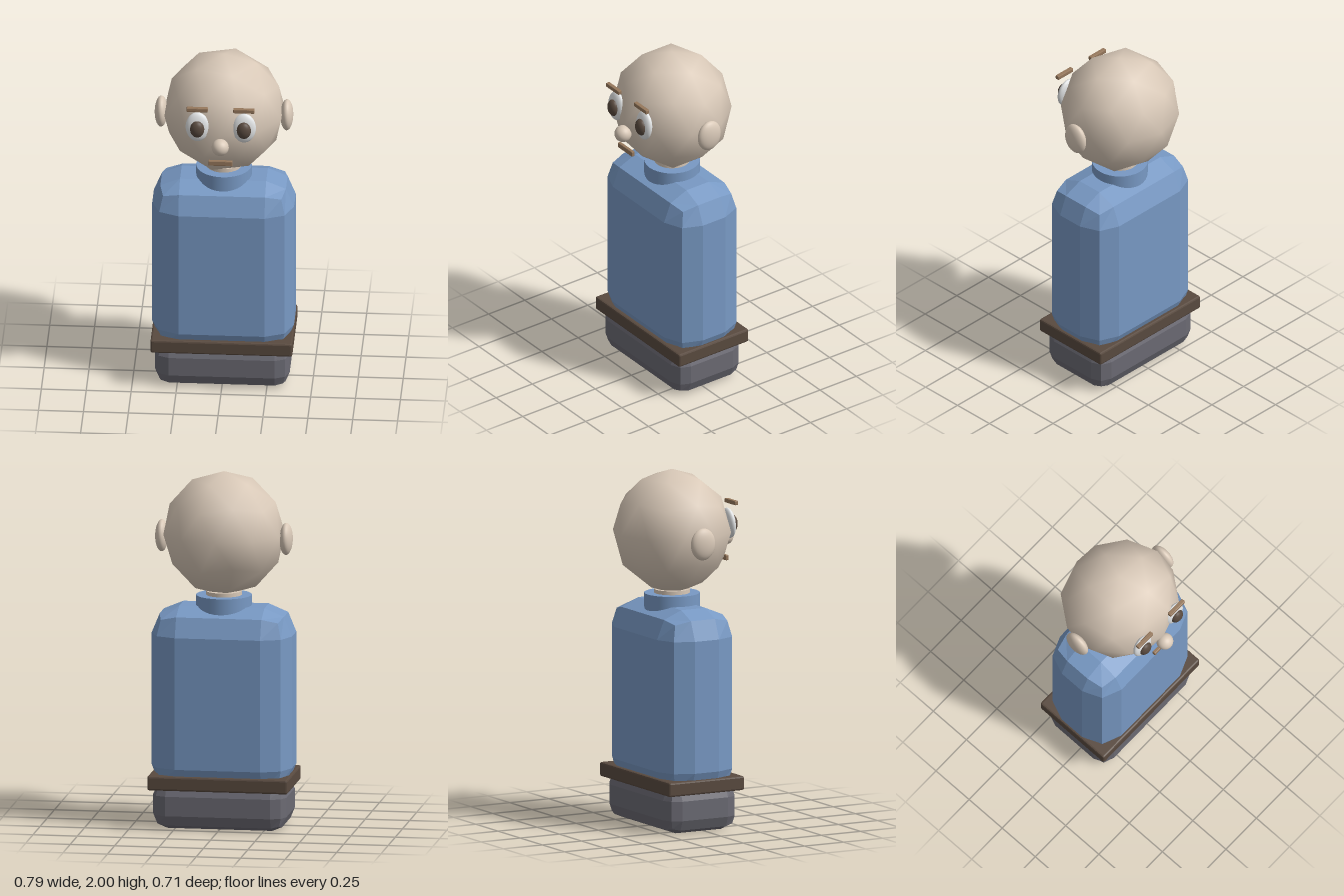
import * as THREE from 'three';
import { RoundedBoxGeometry } from 'three/addons/geometries/RoundedBoxGeometry.js';

const CZ = -0.03; // depth of the body axis

const material = (name, color) => {
  const m = new THREE.MeshStandardMaterial({ color });
  m.name = name;
  return m;
};

// Box with two-step chamfered edges and flat faces
function chamferBox(w, h, d, r) {
  const g = new RoundedBoxGeometry(w, h, d, 1, r);
  g.computeVertexNormals();
  return g;
}

// Smooth ellipsoid
const ellipsoid = (rx, ry, rz) => new THREE.SphereGeometry(1, 24, 16).scale(rx, ry, rz);

// Coarse, smooth-shaded ball with a vertex straight up
function headGeometry(rx, ry, rz) {
  const g = new THREE.IcosahedronGeometry(1, 1);
  g.rotateZ(-Math.atan(2 / (1 + Math.sqrt(5))));
  return g.scale(rx, ry, rz);
}

export function createModel() {
  const skin = material('skin', 0xd9c9b8);
  const shirt = material('shirt blue', 0x7899c4);
  const leather = material('dark brown', 0x594a3f);
  const trousers = material('trouser grey', 0x6b6a73);
  const hair = material('hair brown', 0x96785c);
  const white = material('eye white', 0xe2e4e5);

  const group = new THREE.Group();
  group.name = 'figure';
  const add = (name, geometry, mat, x, y, z) => {
    const mesh = new THREE.Mesh(geometry, mat);
    mesh.name = name;
    mesh.position.set(x, y, z);
    group.add(mesh);
    return mesh;
  };

  // Body, from the ground up
  add('hips', chamferBox(0.75, 0.27, 0.45, 0.08), trousers, 0, 0.135, CZ);
  add('belt', chamferBox(0.79, 0.08, 0.48, 0.01), leather, 0, 0.265, CZ);
  add('torso', chamferBox(0.79, 1.055, 0.464, 0.155), shirt, 0, 0.7175, CZ);
  add('collar', new THREE.CylinderGeometry(0.155, 0.155, 0.1, 32), shirt, 0, 1.253, CZ);
  add('neck', new THREE.CylinderGeometry(0.1, 0.1, 0.13, 24), skin, 0, 1.26, CZ);

  // Head and face
  add('head', headGeometry(0.342, 0.35, 0.326), skin, 0, 1.65, CZ);
  add('nose', ellipsoid(0.048, 0.048, 0.048), skin, 0, 1.59, 0.308);
  add('mouth', chamferBox(0.134, 0.03, 0.02, 0.004), hair, 0, 1.48, 0.286);

  for (const [side, s] of [['left', 1], ['right', -1]]) {
    add(side + 'Ear', ellipsoid(0.036, 0.09, 0.075), skin, s * 0.35, 1.627, CZ);
    const eye = add(side + 'Eye', ellipsoid(0.066, 0.086, 0.028), white, s * 0.13, 1.69, 0.258);
    eye.rotation.x = -0.1;
    add(side + 'Pupil', ellipsoid(0.04, 0.05, 0.03), leather, s * 0.13, 1.685, 0.279);
    add(side + 'Eyebrow', chamferBox(0.118, 0.024, 0.024, 0.004), hair, s * 0.13, 1.808, 0.276);
  }
  return group;
}
